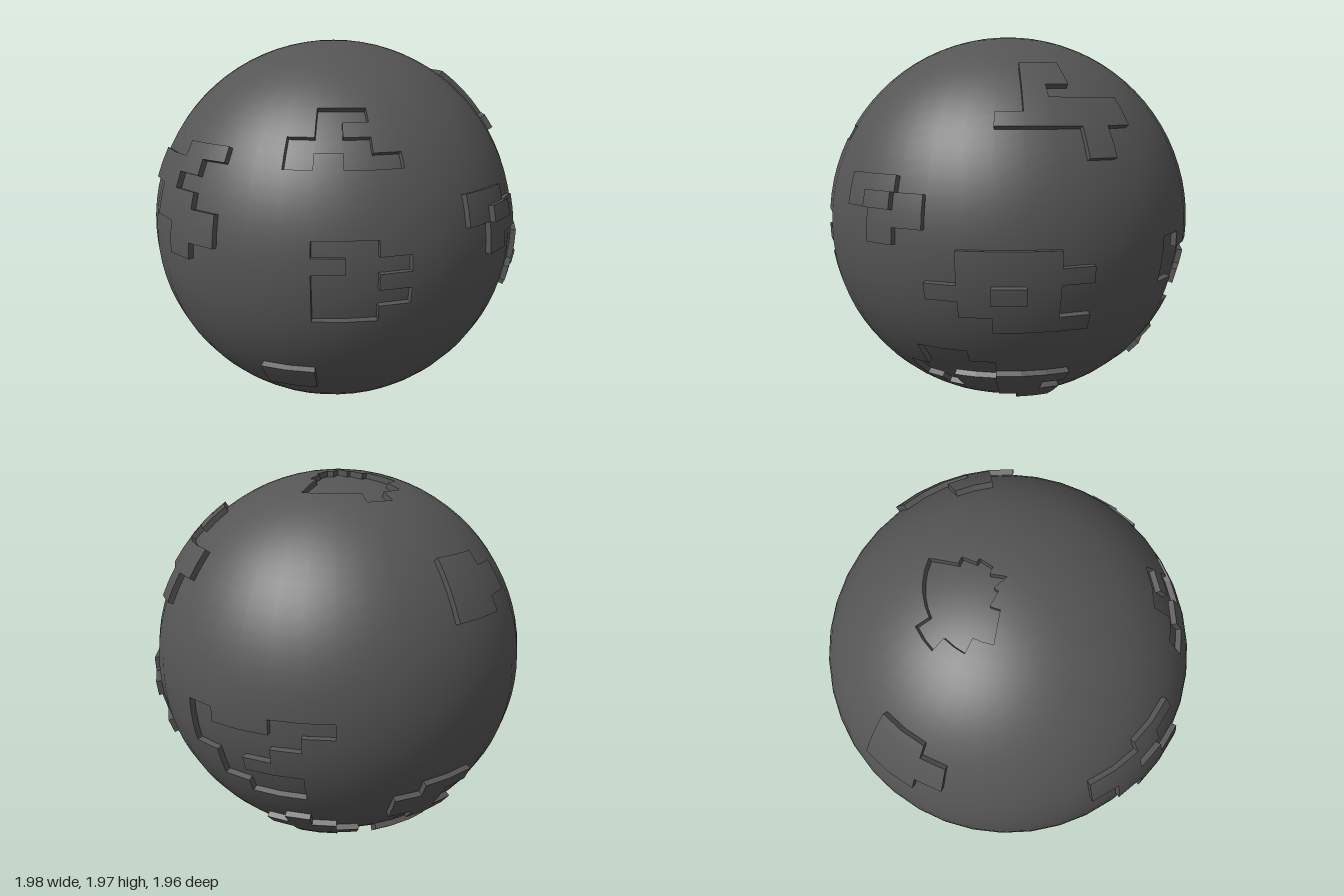
import * as THREE from 'three';

// The sphere is a 40 x 40 grid: 9 degree columns counted from the front toward +x,
// 4.5 degree rows counted from the equator. Panels step in or out by whole cells.
const COLS = 40, HALF = 20;
const RADIUS = 0.97, STEP = 0.028;
const CENTER = [-0.03, 0.995, -0.015];

const key = (c, r) => (r + HALF) * COLS + (c + COLS) % COLS;

function gridPoint(c, r, radius) {
  const lon = c * Math.PI * 2 / COLS, lat = r * Math.PI / (2 * HALF);
  return new THREE.Vector3(Math.cos(lat) * Math.sin(lon), Math.sin(lat), Math.cos(lat) * Math.cos(lon)).multiplyScalar(radius);
}

// Smooth outer faces for the given cells, plus flat walls down to lower neighbours
function cellGeometry(cells, level) {
  const pos = [], nor = [];
  const quad = (pts, smooth) => {
    const flat = pts[1].clone().sub(pts[0]).cross(pts[2].clone().sub(pts[1])).normalize();
    for (const i of [0, 1, 2, 0, 2, 3]) {
      pos.push(...pts[i].toArray());
      nor.push(...(smooth ? pts[i].clone().normalize() : flat).toArray());
    }
  };
  const radiusAt = (l) => RADIUS + l * STEP;
  for (const [c, r] of cells) {
    const own = level[key(c, r)];
    const corners = [[c, r], [c + 1, r], [c + 1, r + 1], [c, r + 1]];
    const neighbours = [[c, r - 1], [c + 1, r], [c, r + 1], [c - 1, r]];
    quad(corners.map(([a, b]) => gridPoint(a, b, radiusAt(own))), true);
    neighbours.forEach(([nc, nr], i) => {
      if (nr < -HALF || nr >= HALF) return;
      const low = level[key(nc, nr)];
      if (low >= own) return;
      const a = corners[i], b = corners[(i + 1) % 4];
      quad([gridPoint(...a, radiusAt(low)), gridPoint(...b, radiusAt(low)),
        gridPoint(...b, radiusAt(own)), gridPoint(...a, radiusAt(own))], false);
    });
  }
  const g = new THREE.BufferGeometry();
  g.setAttribute('position', new THREE.Float32BufferAttribute(pos, 3));
  g.setAttribute('normal', new THREE.Float32BufferAttribute(nor, 3));
  return g;
}

export function createModel() {
  const group = new THREE.Group();
  group.name = 'panelledSphere';
  const darkGrey = new THREE.MeshStandardMaterial({ color: 0x555555 });
  darkGrey.name = 'darkGrey';

  // Height level and owning part of every cell
  const level = new Array(COLS * HALF * 2).fill(0);
  const owner = new Array(COLS * HALF * 2).fill('hull');

  // Step a rectangle of cells out (+1) or in (-1)
  const block = (name, step, c0, c1, r0, r1) => {
    for (let r = r0; r <= r1; r++) {
      for (let c = c0; c <= c1; c++) {
        level[key(c, r)] += step;
        owner[key(c, r)] = name;
      }
    }
  };
  // Stepped outline: one [first, last] column pair per row, from the bottom row up
  const stack = (name, step, bottom, ...rows) =>
    rows.forEach(([c0, c1], i) => block(name, step, c0, c1, bottom + i, bottom + i));

  // Front
  stack('frontPanel', 1, 0, [-2, -2], [-2, -1], [-3, -1], [-3, -2], [-4, -3], [-4, -2], [-2, -1]);
  block('frontLowerPanel', 1, 1, 2, -9, -8);
  stack('frontUpperRecess', -1, 6, [2, 5], [2, 4], [3, 3], [3, 4]);
  block('hull', 1, 3, 3, 6, 6);
  stack('frontMiddleRecess', -1, -3, [3, 4], [3, 5], [3, 4], [4, 5], [3, 4]);
  block('frontSideRecess', -1, -7, -7, -3, -2);
  block('frontSideRecess', -1, -6, -5, -4, -3);

  // Right side (-x)
  block('sideUpperPanel', 1, -12, -11, 5, 8);
  block('sideUpperPanel', 1, -10, -10, 6, 7);

  // Left side (+x), with two double-height spots
  block('sideSquarePanel', 1, 8, 9, 2, 3);
  block('sideOverlapPanel', 1, 9, 10, 1, 2);
  block('sideOverlapPanel', 1, 9, 9, 0, 0);
  stack('sideLargePanel', 1, -5, [13, 15], [12, 14], [11, 14], [12, 15], [12, 14]);
  block('sideLargePanelBlock', 1, 13, 13, -3, -3);
  stack('sideLowerRecess', -1, -12, [10, 10], [9, 10], [9, 12], [10, 12], [10, 11]);
  stack('sideLowerPanel', 1, -13, [14, 15], [13, 15], [13, 14], [13, 15]);

  // Back
  stack('backUpperPanel', 1, 5, [16, 16], [16, 16], [13, 17], [14, 17], [14, 14], [14, 15], [14, 15]);
  stack('backRecess', -1, -6, [21, 22], [20, 22], [20, 20], [19, 21], [19, 22], [19, 23]);
  block('hull', 1, 20, 21, -1, -1);
  stack('backLowerPanel', 1, -12, [22, 23], [22, 24], [21, 23], [22, 22]);
  stack('backSidePanel', 1, -9, [27, 28], [26, 27], [26, 27], [27, 28]);

  // Underside and poles
  stack('undersidePanel', 1, -15, [28, 29], [28, 29], [27, 29], [26, 28]);
  stack('topRecess', -1, 14, [26, 27], [21, 29], [21, 31], [20, 31], [19, 29], [22, 27]);
  block('bottomCap', 1, 0, COLS - 1, -HALF, -HALF + 1);

  // One mesh for the hull and one for each panel
  for (const name of new Set(owner)) {
    const cells = [];
    for (let r = -HALF; r < HALF; r++) {
      for (let c = 0; c < COLS; c++) if (owner[key(c, r)] === name) cells.push([c, r]);
    }
    const mesh = new THREE.Mesh(cellGeometry(cells, level), darkGrey);
    mesh.name = name;
    mesh.position.set(...CENTER);
    group.add(mesh);
  }
  return group;
}
